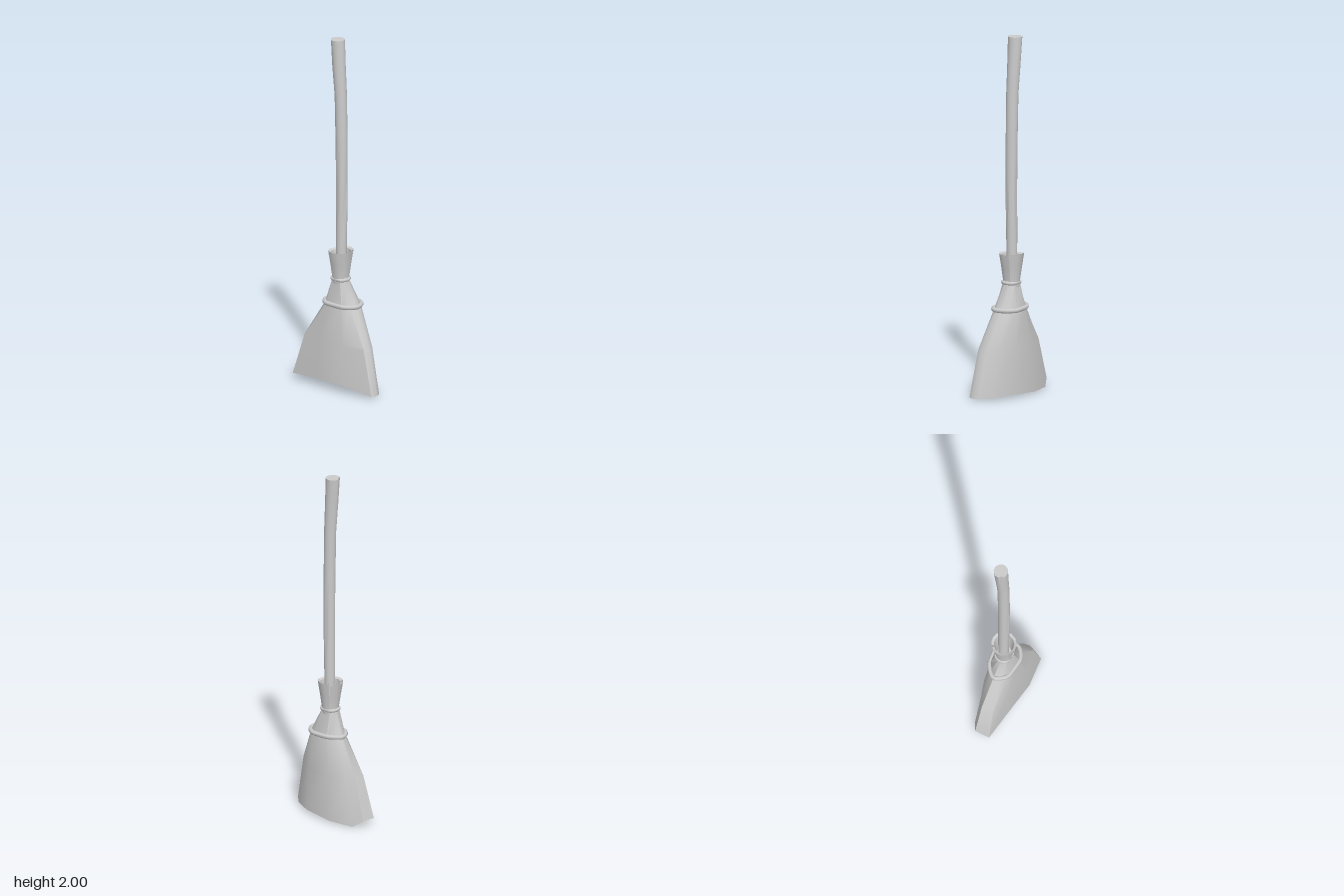
import * as THREE from 'three';
import { toCreasedNormals } from 'three/addons/utils/BufferGeometryUtils.js';

const material = new THREE.MeshStandardMaterial({ color: 0xcccccc, side: THREE.DoubleSide });

// Skin a list of equal-length [x, y, z] rings (bottom to top, turning from +z to +x), with both ends closed
function loft(rings, crease) {
  const n = rings[0].length, pos = rings.flat(2), index = [];
  for (let r = 0; r < rings.length - 1; r++) {
    for (let i = 0; i < n; i++) {
      const a = r * n + i, b = r * n + (i + 1) % n;
      index.push(a, b, b + n, a, b + n, a + n);
    }
  }
  [0, rings.length - 1].forEach((r) => {
    const c = pos.length / 3;
    for (let k = 0; k < 3; k++) pos.push(rings[r].reduce((s, p) => s + p[k], 0) / n);
    for (let i = 0; i < n; i++) {
      const a = r * n + i, b = r * n + (i + 1) % n;
      if (r === 0) index.push(c, b, a);
      else index.push(c, a, b);
    }
  });
  const g = new THREE.BufferGeometry();
  g.setAttribute('position', new THREE.Float32BufferAttribute(pos, 3));
  g.setIndex(index);
  return toCreasedNormals(g, crease);
}

export function createModel() {
  const broom = new THREE.Group();
  broom.name = 'broom';
  const add = (name, geometry) => {
    const mesh = new THREE.Mesh(geometry, material);
    mesh.name = name;
    broom.add(mesh);
    return mesh;
  };

  // Handle: [y, centre x, radius], bending left near the top
  const path = [[0.6, 0, 0.029], [0.8, 0.001, 0.03], [0.92, 0.002, 0.031], [1.05, 0.004, 0.032],
    [1.18, 0.004, 0.032], [1.4, 0.003, 0.033], [1.68, -0.003, 0.034], [1.85, -0.016, 0.037], [2, -0.026, 0.04]];
  const sides = 14;
  add('handle', loft(path.map(([y, x, r], k) => Array.from({ length: sides }, (_, i) => {
    const a = (i / sides) * Math.PI * 2;
    // a chip at the top end and a crack half way up
    const chipped = (k === 8 && i === 12) || (k === 3 && i === 3);
    const q = chipped ? r * 0.78 : r;
    return [x + q * Math.sin(a), y, -0.004 + q * Math.cos(a)];
  })), 0.9));

  // Bristles: irregular foot [x, y, z] narrowing to the waist [x, z] and a round neck
  const foot = [[-0.1, 0.045, 0.092], [0.1, 0.045, 0.1], [0.275, 0.01, 0.06], [0.285, 0.01, 0.025],
    [0.275, 0.01, -0.005], [0.21, 0.01, -0.055], [0.085, 0.018, -0.1], [-0.1, 0.005, -0.086],
    [-0.235, 0, -0.036], [-0.285, 0.04, 0], [-0.275, 0.035, 0.084]];
  const waist = [[-0.05, 0.06], [0.06, 0.062], [0.1, 0.038], [0.12, 0.01], [0.113, -0.03], [0.09, -0.063],
    [0.045, -0.083], [-0.045, -0.063], [-0.085, -0.03], [-0.105, 0], [-0.085, 0.032]];
  const between = (t, y) => foot.map((p, i) =>
    [p[0] + (waist[i][0] - p[0]) * t, y, p[2] + (waist[i][1] - p[2]) * t]);
  const neck = (r, y) => waist.map(([x, z]) => {
    const a = Math.atan2(x - 0.008, z + 0.01);
    return [r * Math.sin(a), y, r * Math.cos(a)];
  });
  add('bristles', loft([foot, between(0.36, 0.27), between(1, 0.48), neck(0.05, 0.61), neck(0.044, 0.66)], 0.75));

  // Cord ties around the waist and the neck
  const tie = (name, points, y, thickness) => add(name, new THREE.TubeGeometry(
    new THREE.CatmullRomCurve3(points.map(([x, z]) => new THREE.Vector3(x, y, z)), true, 'catmullrom', 0.3),
    33, thickness, 7, true));
  tie('lowerTie', waist.map(([x, z]) => [x * 1.03, z * 1.03]), 0.484, 0.013);
  tie('upperTie', neck(0.047, 0).map(([x, , z]) => [x, z]), 0.624, 0.01);

  // Flared collar above the neck, split into flaps by narrow slits
  const profile = [[0.046, 0.6], [0.048, 0.64], [0.058, 0.71], [0.07, 0.785], [0.056, 0.778], [0.046, 0.71], [0.038, 0.65]]
    .map(([x, y]) => new THREE.Vector2(x, y));
  const slits = [-2.35, -0.6, 2.15, -2.35 + Math.PI * 2];
  for (let f = 0; f < 3; f++) {
    const start = slits[f], span = slits[f + 1] - start, middle = start + span / 2;
    const g = new THREE.LatheGeometry(profile, 5, start, span);
    const p = g.attributes.position;
    for (let i = 0; i < p.count; i++) {
      const x = p.getX(i), y = p.getY(i), z = p.getZ(i), r = Math.hypot(x, z);
      // slits widen towards the rim
      const off = Math.atan2(Math.sin(Math.atan2(x, z) - middle), Math.cos(Math.atan2(x, z) - middle));
      const open = Math.max(0, (y - 0.65) / 0.135);
      const a = middle + off * (1 - (0.16 * open) / span);
      p.setXYZ(i, r * Math.sin(a), y + (f - 1) * 0.005 * open, r * Math.cos(a));
    }
    add('collarFlap' + (f + 1), toCreasedNormals(g, 0.7));
  }
  return broom;
}
